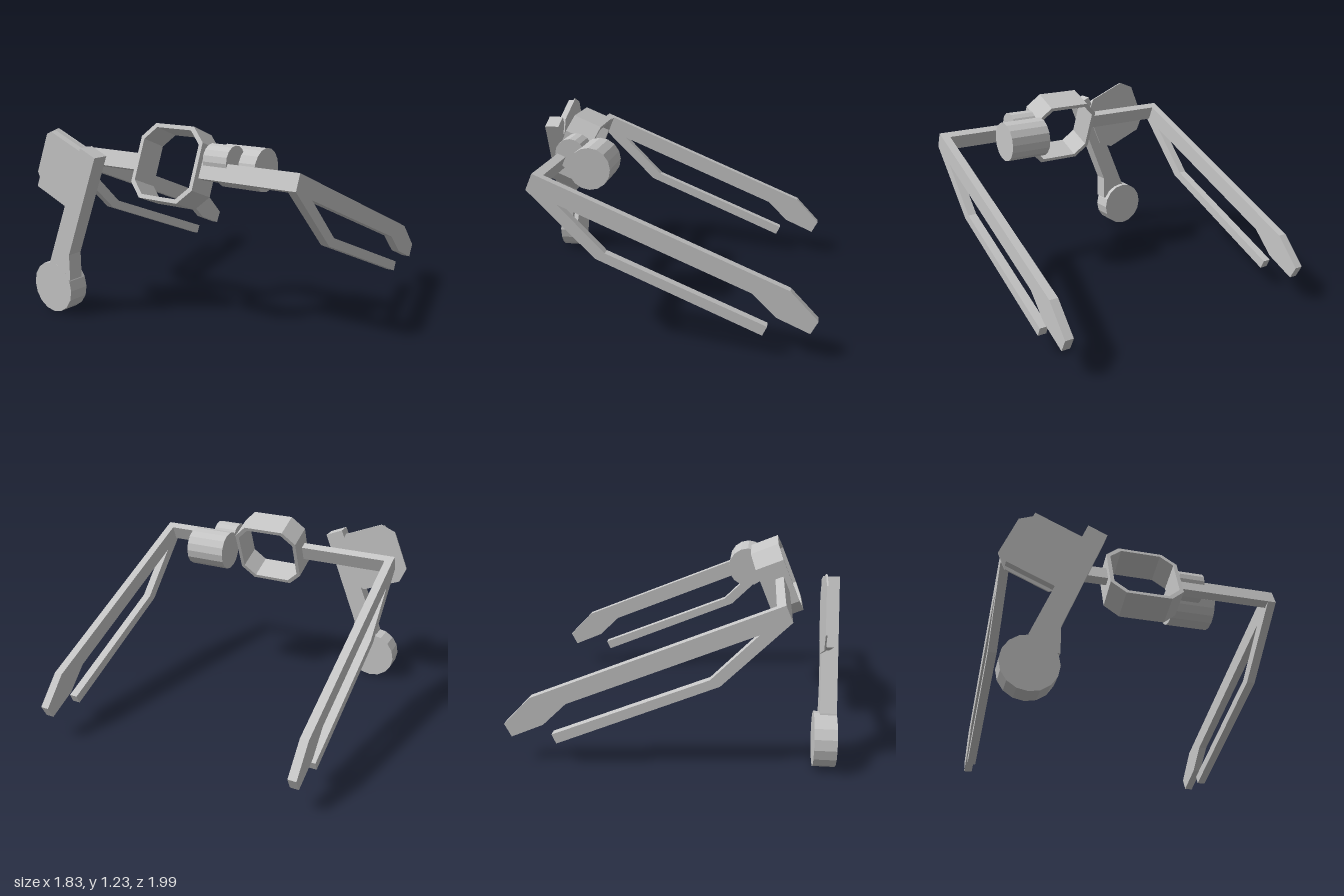
import * as THREE from 'three';

export function createModel() {
  const model = new THREE.Group();
  model.name = 'headset';
  const grey = new THREE.MeshStandardMaterial({ color: 0xc6c6c6, flatShading: true });
  grey.name = 'light grey';

  const add = (parent, name, geometry) => {
    const mesh = new THREE.Mesh(geometry, grey);
    mesh.name = name;
    parent.add(mesh);
    return mesh;
  };
  const toVectors = (points) => points.map(([x, y]) => new THREE.Vector2(x, y));
  const extrude = (points, depth, hole) => {
    const shape = new THREE.Shape(toVectors(points));
    if (hole) shape.holes.push(new THREE.Path(toVectors(hole)));
    return new THREE.ExtrudeGeometry(shape, { depth, bevelEnabled: false });
  };
  // side profile given as [z, y], spanning x0 to x1
  const sideProfile = (points, x0, x1) =>
    extrude(points.map(([z, y]) => [-z, y]), x1 - x0).rotateY(Math.PI / 2).translate(x0, 0, 0);
  // rectangle with cut corners
  const octagon = (w, h, c) => [
    [-w + c, -h], [w - c, -h], [w, -h + c], [w, h - c],
    [w - c, h], [-w + c, h], [-w, h - c], [-w, -h + c],
  ];

  // forked side arms
  const armProfile = [
    [0.668, 1.043], [-0.829, 0.425], [-0.995, 0.25], [-0.952, 0.168], [-0.753, 0.255], [-0.609, 0.396],
    [0.528, 0.866], [0.249, 0.583], [-0.705, 0.193], [-0.678, 0.134], [0.308, 0.545], [0.71, 0.945],
  ];
  add(model, 'rightArm', sideProfile(armProfile, -0.885, -0.83));
  add(model, 'leftArm', sideProfile(armProfile, 0.855, 0.91));

  // front bar, open where the ring sits
  const barProfile = [[0.668, 1.043], [0.617, 1.022], [0.659, 0.924], [0.71, 0.945]];
  add(model, 'rightFrontBar', sideProfile(barProfile, -0.84, -0.208));
  add(model, 'leftFrontBar', sideProfile(barProfile, 0.238, 0.865));

  // eight-sided ring in the middle
  const ring = add(model, 'centreRing',
    extrude(octagon(0.235, 0.235, 0.09), 0.188, octagon(0.21, 0.21, 0.08)).translate(0, 0, -0.094));
  ring.position.set(0.015, 0.981, 0.632);
  ring.rotation.x = THREE.MathUtils.degToRad(-22.3);

  // drums beside the ring
  const drum = (name, r, x0, x1, y, z) => {
    const geometry = new THREE.CylinderGeometry(r, r, x1 - x0, 16).rotateZ(Math.PI / 2);
    add(model, name, geometry).position.set((x0 + x1) / 2, y, z);
  };
  drum('smallDrum', 0.096, 0.262, 0.43, 1.043, 0.587);
  drum('largeDrum', 0.133, 0.262, 0.545, 0.983, 0.433);

  // separate hanging unit, tilted in the front plane
  const unit = new THREE.Group();
  unit.name = 'sideUnit';
  unit.rotation.z = THREE.MathUtils.degToRad(-22.5);
  model.add(unit);
  add(unit, 'housing', new THREE.BoxGeometry(0.31, 0.395, 0.05)).position.set(-0.963, 0.606, 0.92);
  add(unit, 'backPlate', extrude(octagon(0.22, 0.218, 0.08), 0.009)).position.set(-0.97, 0.606, 0.889);

  // boom with a bent lower end and a round pad
  const boom = [[-0.417, 1.1], [-0.735, 0.338], [-0.76, 0.24], [-0.559, 0.24], [-0.559, 0.407], [-0.3, 1.05]];
  add(model, 'boom', extrude(boom, 0.1)).position.z = 0.899;
  add(model, 'boomPad', new THREE.CylinderGeometry(0.166, 0.166, 0.135, 16).rotateX(Math.PI / 2))
    .position.set(-0.721, 0.166, 0.932);

  return model;
}
